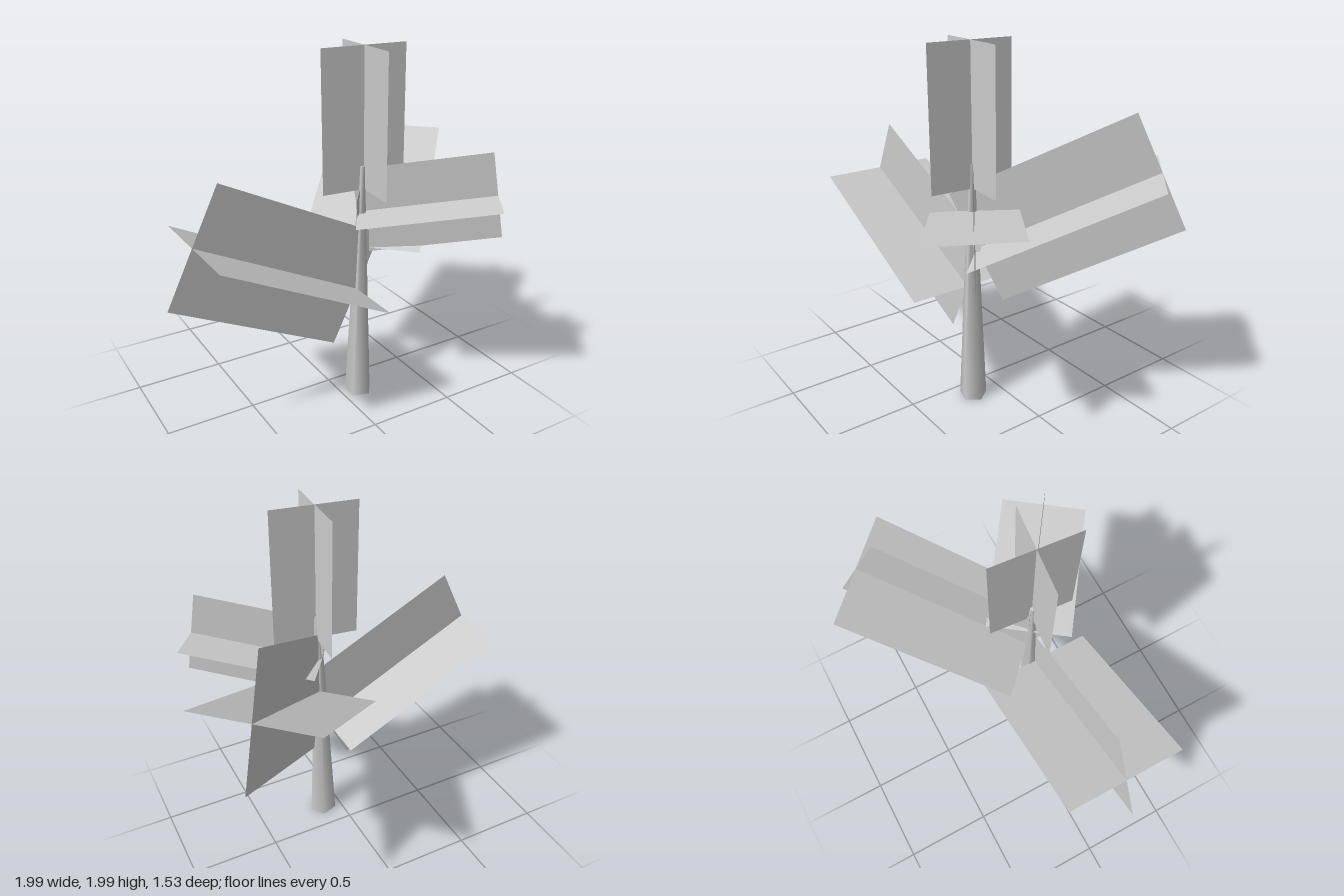
import * as THREE from 'three';

const V = (x, y, z) => new THREE.Vector3(x, y, z);

// Flat rectangle running from base to tip, widened by +/- half
function card(base, tip, half, material) {
  const corners = [
    base.clone().sub(half), base.clone().add(half),
    tip.clone().add(half), tip.clone().sub(half),
  ];
  const geometry = new THREE.BufferGeometry().setFromPoints(corners);
  geometry.setIndex([0, 1, 2, 0, 2, 3]);
  geometry.computeVertexNormals();
  return new THREE.Mesh(geometry, material);
}

// Two cards crossing along a shared axis
function foliage(name, { base, tip, halves }, material) {
  const group = new THREE.Group();
  group.name = name;
  halves.forEach((half, i) => {
    const mesh = card(base, tip, half, material);
    mesh.name = `${name}Card${i + 1}`;
    group.add(mesh);
  });
  return group;
}

export function createModel() {
  const tree = new THREE.Group();
  tree.name = 'tree';
  const bark = new THREE.MeshStandardMaterial({ color: 0xcccccc });
  const leaf = new THREE.MeshStandardMaterial({ color: 0xcccccc, side: THREE.DoubleSide });

  // Tapered five-sided trunk, one corner towards +x
  const height = 1.37;
  const trunkGeometry = new THREE.CylinderGeometry(0.016, 0.079, height, 5);
  trunkGeometry.rotateY(Math.PI / 2 * -3);
  trunkGeometry.rotateY(-Math.PI);
  trunkGeometry.rotateY(Math.PI);
  const trunk = new THREE.Mesh(trunkGeometry, bark);
  trunk.name = 'trunk';
  trunk.position.set(0.107, height / 2, 0.163);
  tree.add(trunk);

  // Leafy branches: three around the trunk and one on top
  const branches = {
    rightBranch: {
      base: V(0.075, 0.67, 0.175), tip: V(-0.855, 1.12, 0.18),
      halves: [V(0.145, 0.30, 0), V(0, 0, 0.335)],
    },
    backBranch: {
      base: V(0.115, 0.90, 0.14), tip: V(0.755, 1.355, -0.54),
      halves: [V(-0.095, 0.30, 0.105), V(0.235, 0, 0.23)],
    },
    frontBranch: {
      base: V(0.097, 1.11, 0.14), tip: V(0.695, 1.222, 0.565),
      halves: [V(-0.035, 0.235, -0.02), V(0.135, 0.012, -0.193)],
    },
    crown: {
      base: V(0.118, 1.24, 0.165), tip: V(0.105, 1.99, 0.165),
      halves: [V(0.235, 0.003, 0.025), V(-0.02, 0, 0.237)],
    },
  };
  for (const [name, spec] of Object.entries(branches)) tree.add(foliage(name, spec, leaf));

  return tree;
}
